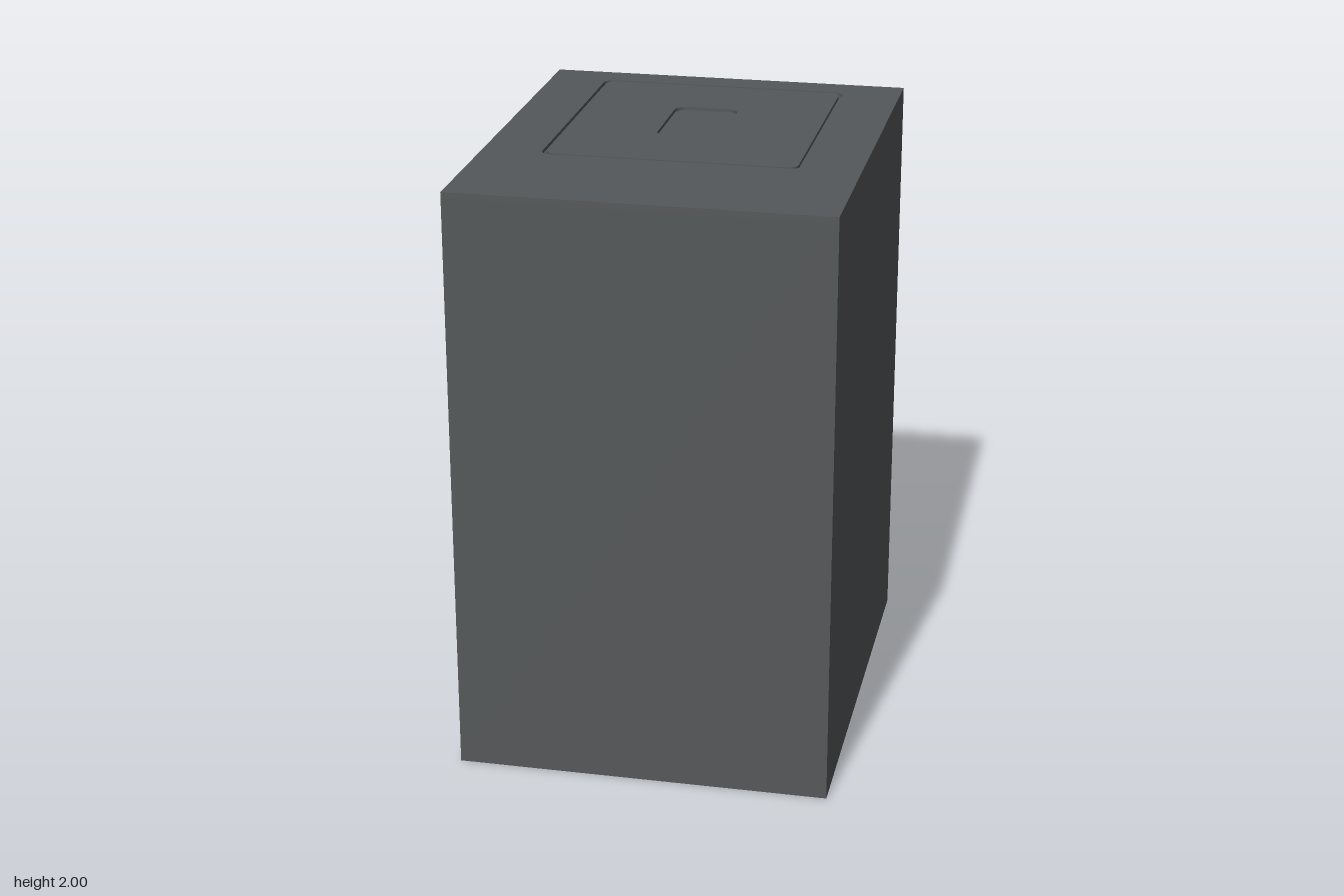
import * as THREE from 'three';

const W = 1.244, D = 1.5, H = 2, T = 0.022;   // outer size and board thickness
const IN = W - 2 * T;                         // inner width
const BACK = -D / 2, FRONT = D / 2 - T;
const RECESS = 0.012;                         // depth of the hatch seam and grip

const material = new THREE.MeshStandardMaterial({ color: 0x55585a, flatShading: true });

// Rounded rectangle, half width hx, from z0 to z1
function roundedRect(path, hx, z0, z1, r) {
  path.moveTo(-hx + r, z0);
  path.lineTo(hx - r, z0);
  path.absarc(hx - r, z0 + r, r, -Math.PI / 2, 0);
  path.lineTo(hx, z1 - r);
  path.absarc(hx - r, z1 - r, r, 0, Math.PI / 2);
  path.lineTo(-hx + r, z1);
  path.absarc(-hx + r, z1 - r, r, Math.PI / 2, Math.PI);
  path.lineTo(-hx, z0 + r);
  path.absarc(-hx + r, z0 + r, r, Math.PI, Math.PI * 1.5);
  return path;
}

// Side profile of [z, y] points, extruded across x and centred
function acrossX(points, width) {
  const shape = new THREE.Shape(points.map(([z, y]) => new THREE.Vector2(z, y)));
  return new THREE.ExtrudeGeometry(shape, { depth: width, bevelEnabled: false })
    .rotateY(-Math.PI / 2).translate(width / 2, 0, 0);
}

// Plan shape in (x, z), extruded downwards from y = 0
function downwards(shape, depth) {
  return new THREE.ExtrudeGeometry(shape, { depth, bevelEnabled: false, curveSegments: 20 })
    .rotateX(Math.PI / 2);
}

export function createModel() {
  const group = new THREE.Group();
  const add = (name, geometry, x = 0, y = 0, z = 0) => {
    const mesh = new THREE.Mesh(geometry, material);
    mesh.name = name;
    mesh.position.set(x, y, z);
    group.add(mesh);
    return mesh;
  };

  // Outer cabinet, open at the back
  for (const side of [-1, 1])
    add(side > 0 ? 'leftWall' : 'rightWall', new THREE.BoxGeometry(T, H - T, D),
      side * (W - T) / 2, (H - T) / 2, 0);
  add('floor', new THREE.BoxGeometry(IN, T, D), 0, T / 2, 0);
  add('frontWall', new THREE.BoxGeometry(IN, H - 2 * T, T), 0, H / 2, (D - T) / 2);

  // Top: base board, frame with an opening, hatch with a grip recess
  add('topBase', new THREE.BoxGeometry(W, T - RECESS, D), 0, H - RECESS - (T - RECESS) / 2, 0);
  const frame = new THREE.Shape([
    new THREE.Vector2(-W / 2, -D / 2), new THREE.Vector2(W / 2, -D / 2),
    new THREE.Vector2(W / 2, D / 2), new THREE.Vector2(-W / 2, D / 2)]);
  frame.holes.push(roundedRect(new THREE.Path(), 0.426, -0.645, 0.288, 0.035));
  add('topFrame', downwards(frame, RECESS), 0, H, 0);
  const hatch = roundedRect(new THREE.Shape(), 0.414, -0.633, 0.276, 0.035);
  hatch.holes.push(roundedRect(new THREE.Path(), 0.108, -0.357, 0, 0.04));
  add('topHatch', downwards(hatch, RECESS), 0, H, 0);

  // Folded baffle: upright rear panel, steep lip, long slope to the front
  add('foldedBaffle', acrossX([
    [BACK + 0.04, H - T], [BACK + 0.04, 1.25], [BACK + 0.17, 1.05], [FRONT, 0.42],
    [FRONT, 0.45], [BACK + 0.184, 1.072], [BACK + 0.062, 1.257], [BACK + 0.062, H - T]], IN));

  // Central divider under the slope
  add('centreDivider', acrossX([
    [BACK + 0.17, T], [FRONT, T], [FRONT, 0.42], [BACK + 0.17, 1.05]], 0.036));

  // Tilted shelf with two scoops in its rear edge
  const hw = IN / 2, length = 0.605, tip = 0.04, sag = 0.19;
  const half = (hw - tip) / 2, mid = (hw + tip) / 2;
  const radius = (half * half + sag * sag) / (2 * sag);
  const low = sag - radius, angle = Math.atan2(-low, half);
  const shelf = new THREE.Shape();
  shelf.moveTo(-hw, 0);
  shelf.absarc(-mid, low, radius, Math.PI - angle, angle, true);
  shelf.lineTo(tip, 0);
  shelf.absarc(mid, low, radius, Math.PI - angle, angle, true);
  shelf.lineTo(hw, length);
  shelf.lineTo(-hw, length);
  add('scoopedShelf', downwards(shelf, 0.024), 0, 0.553, BACK + 0.04).rotation.x = Math.atan(0.27);

  return group;
}
